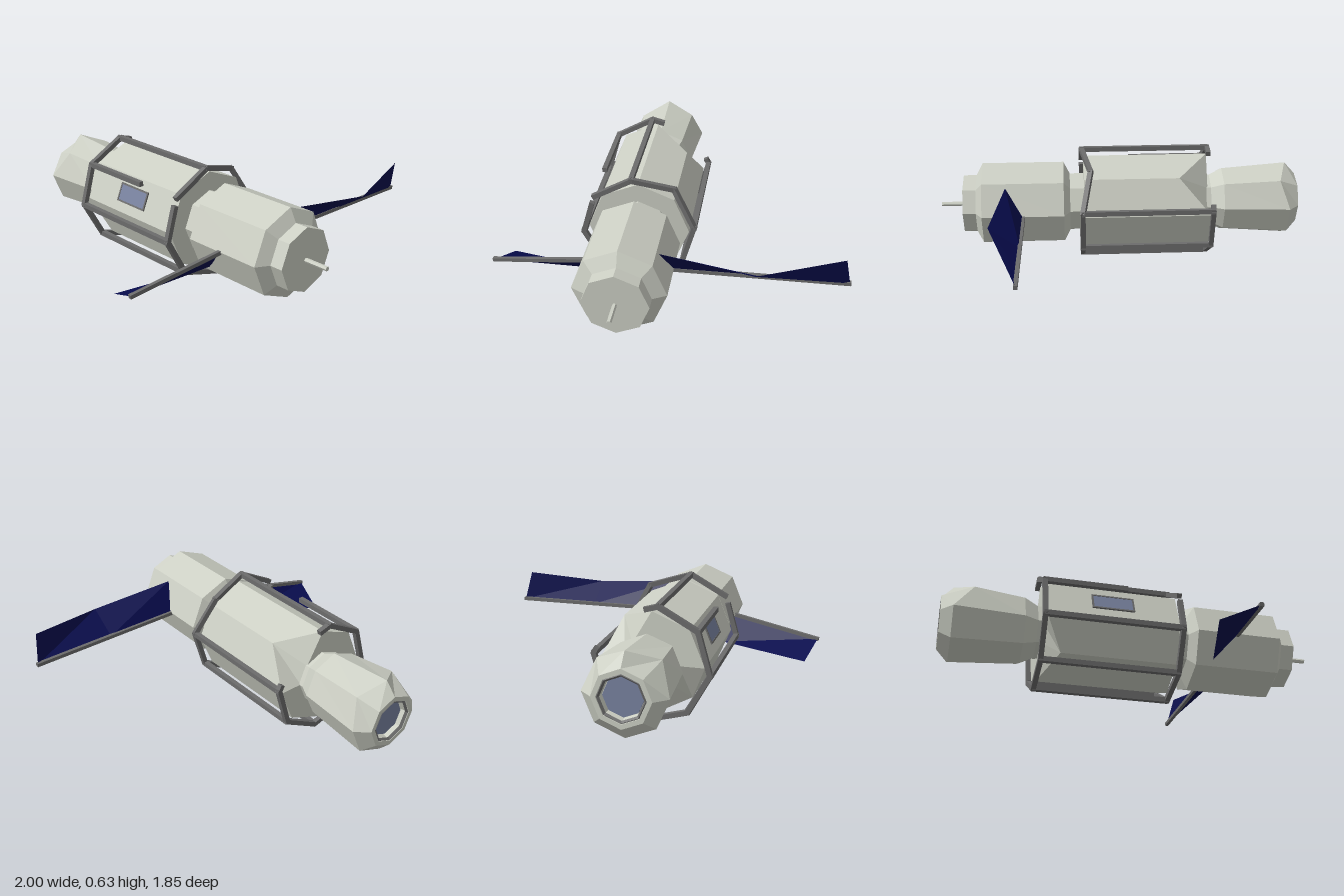
import * as THREE from 'three';

const CY = 0.318, CZ = 0.188; // long axis of the station
const material = (color, extra) => new THREE.MeshStandardMaterial({ color, flatShading: true, ...extra });
const V = (x, y, z) => new THREE.Vector3(x, y, z);

// point around the long axis; angle in degrees from +y towards +z
function around(x, r, deg) {
  const a = deg * Math.PI / 180;
  return V(x, CY + r * Math.cos(a), CZ + r * Math.sin(a));
}

function mesh(name, geometry, mat) {
  const m = new THREE.Mesh(geometry, mat);
  m.name = name;
  return m;
}

// geometry from a list of triangles
function faces(tris) {
  const g = new THREE.BufferGeometry().setFromPoints(tris.flat());
  g.computeVertexNormals();
  return g;
}

// eight-sided hull from [x, radius] rings; dents shift single corners along x
function hull(profile, dents = {}) {
  const point = (i, k) => around(profile[i][0] + (dents[`${i},${k % 8}`] || 0), profile[i][1], k * 45);
  const tris = [];
  for (let i = 0; i < profile.length - 1; i++) {
    for (let k = 0; k < 8; k++) {
      const a = point(i, k), b = point(i, k + 1), c = point(i + 1, k + 1), d = point(i + 1, k);
      if (profile[i][1] > 0) tris.push([a, b, c]);
      if (profile[i + 1][1] > 0) tris.push([a, c, d]);
    }
  }
  return faces(tris);
}

// square bar between two points
function beam(name, a, b, t, mat) {
  const m = mesh(name, new THREE.BoxGeometry(t, t, a.distanceTo(b) + t * 0.6), mat);
  m.position.copy(a).lerp(b, 0.5);
  m.lookAt(b);
  return m;
}

// bent panel between a leading and a trailing edge
function panel(name, lead, trail, mat) {
  const tris = [];
  for (let i = 0; i < lead.length - 1; i++) {
    tris.push([lead[i], trail[i], lead[i + 1]], [trail[i], trail[i + 1], lead[i + 1]]);
  }
  return mesh(name, faces(tris), mat);
}

export function createModel() {
  const group = new THREE.Group();
  const shell = material(0xcccfc4);
  const metal = material(0x6c6c6c);
  const glass = material(0x78829f);
  const navy = material(0x080c4e, { side: THREE.DoubleSide });

  // hull sections, from -x to +x
  group.add(mesh('dockingModule', hull(
    [[-0.95, 0], [-0.95, 0.105], [-1, 0.12], [-1, 0.145], [-0.94, 0.21], [-0.58, 0.182], [-0.51, 0.145], [-0.45, 0.145], [-0.45, 0]],
    { '4,1': 0.1, '4,7': 0.05 }), shell));
  group.add(mesh('mainModule', hull(
    [[-0.49, 0], [-0.49, 0.14], [-0.49, 0.27], [0.2, 0.27], [0.2, 0]],
    { '2,7': 0.17, '2,3': 0.09 }), shell));
  group.add(mesh('serviceModule', hull(
    [[0.18, 0], [0.18, 0.168], [0.278, 0.168], [0.312, 0.237], [0.76, 0.237], [0.797, 0.168], [0.868, 0.168], [0.868, 0]]), shell));

  // round port in the -x end
  const port = mesh('dockingPort', new THREE.CylinderGeometry(0.1, 0.1, 0.01, 8), glass);
  port.rotation.z = Math.PI / 2;
  port.position.set(-0.958, CY, CZ);
  const rim = mesh('portRim', new THREE.TorusGeometry(0.115, 0.01, 4, 8), metal);
  rim.rotation.y = Math.PI / 2;
  rim.position.set(-0.99, CY, CZ);
  group.add(port, rim);

  // antenna
  const antenna = mesh('antenna', new THREE.CylinderGeometry(0.012, 0.012, 0.14, 6), shell);
  antenna.rotation.z = Math.PI / 2;
  antenna.position.set(0.93, CY, CZ);
  group.add(antenna);

  // window on the upper front facet
  const windowGroup = new THREE.Group();
  windowGroup.name = 'window';
  const pane = mesh('windowPane', new THREE.BoxGeometry(0.21, 0.09, 0.008), glass);
  windowGroup.add(pane);
  for (const s of [-1, 1]) {
    const rail = mesh('windowRail', new THREE.BoxGeometry(0.22, 0.009, 0.012), metal);
    rail.position.y = s * 0.046;
    const post = mesh('windowPost', new THREE.BoxGeometry(0.009, 0.1, 0.012), metal);
    post.position.x = s * 0.106;
    windowGroup.add(rail, post);
  }
  windowGroup.position.copy(around(-0.143, 0.251, 67.5));
  windowGroup.rotation.x = -Math.PI / 8;
  group.add(windowGroup);

  // handrail cage, with its gaps and one bent corner
  const cage = new THREE.Group();
  cage.name = 'handrailCage';
  const T = 0.026, X0 = -0.498, X1 = 0.21;
  const corner = (x, k) => around(x === X1 && k % 8 === 7 ? 0.165 : x, 0.3, 6.5 + 45 * k);
  const gaps = { [X0]: { 6: [0, 0.12], 7: [0.72, 1] }, [X1]: { 1: [0.2, 1] } };
  for (const x of [X0, X1]) {
    for (let k = 0; k < 8; k++) {
      const [s, e] = gaps[x][k] || [0, 1];
      const a = corner(x, k), b = corner(x, k + 1);
      cage.add(beam('ringBar', a.clone().lerp(b, s), a.clone().lerp(b, e), T, metal));
    }
  }
  for (let k = 0; k < 7; k++) {
    const end = corner(X1, k);
    if (k === 1) end.x = -0.075; // broken rail
    cage.add(beam('longRail', corner(X0, k), end, T, metal));
  }
  group.add(cage);

  // solar panels, each with a spar on its leading edge
  const rear = [V(0.535, 0.313, -0.04), V(0.535, 0.313, -0.46), V(0.535, 0.313, -0.92)];
  group.add(panel('rearSolarPanel', rear, [V(0.63, 0.465, 0.01), V(0.69, 0.42, -0.46), V(0.575, 0.475, -0.89)], navy));
  group.add(beam('rearSpar', rear[0], rear[2], 0.02, metal));
  const front = [V(0.525, 0.318, 0.4), V(0.455, 0.226, 0.915)];
  group.add(panel('frontSolarPanel', front, [V(0.4, 0.18, 0.375), V(0.26, 0.148, 0.865)], navy));
  group.add(beam('frontSpar', front[0], front[1], 0.02, metal));

  return group;
}
